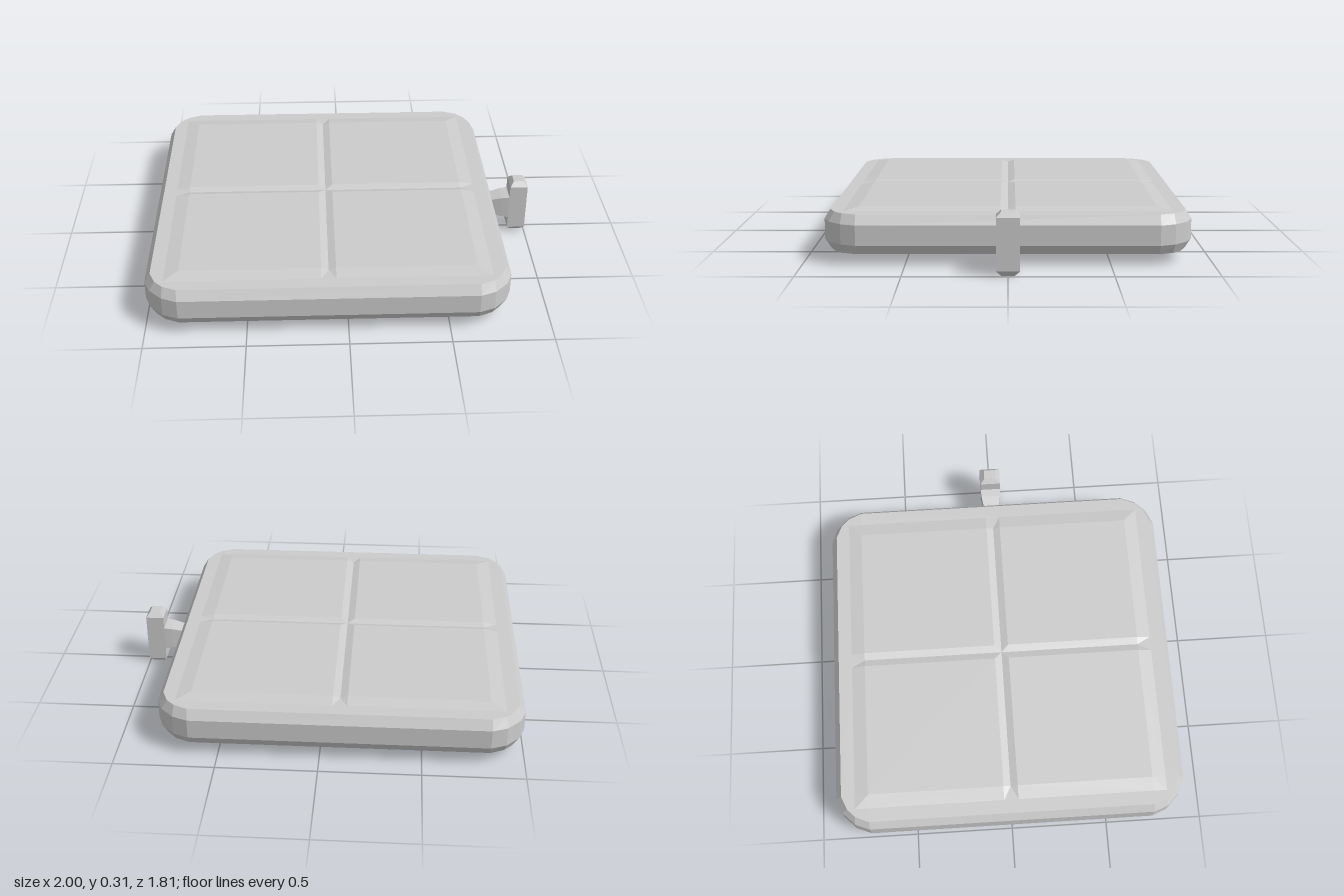
import * as THREE from 'three';

const CX = -0.095, MID = 0.153; // centre of the slab

const material = () => new THREE.MeshStandardMaterial({ color: 0xcccccc, flatShading: true });

function facetMesh(name, positions) {
  const g = new THREE.BufferGeometry();
  g.setAttribute('position', new THREE.Float32BufferAttribute(positions, 3));
  g.computeVertexNormals();
  const mesh = new THREE.Mesh(g, material());
  mesh.name = name;
  return mesh;
}

// Joins stacked rings of [x, y, z] (counter-clockwise from above) and caps both ends
function loft(name, rings) {
  const out = [], n = rings[0].length;
  const tri = (a, b, c) => out.push(...a, ...b, ...c);
  for (let r = 0; r < rings.length - 1; r++) {
    const a = rings[r], b = rings[r + 1];
    for (let i = 0; i < n; i++) {
      const j = (i + 1) % n;
      tri(a[i], a[j], b[j]);
      tri(a[i], b[j], b[i]);
    }
  }
  const lo = rings[0], hi = rings[rings.length - 1];
  for (let i = 1; i < n - 1; i++) {
    tri(lo[0], lo[i + 1], lo[i]);
    tri(hi[0], hi[i], hi[i + 1]);
  }
  return facetMesh(name, out);
}

const rectRing = (hx, y, hz) => [[hx, y, hz], [hx, y, -hz], [-hx, y, -hz], [-hx, y, hz]];

// Square outline with three-facet corners, pulled in by an inset
function slabRing(y, inset) {
  const h = 0.905 - inset;
  const corner = [[h, 0.735], [0.875 - inset, 0.81 - inset * 0.2],
    [0.81 - inset * 0.2, 0.875 - inset], [0.735, h]];
  const ring = [];
  for (let k = 0; k < 4; k++) {
    for (const [u, v] of corner) {
      const [x, w] = [[u, v], [-v, u], [-u, -v], [v, -u]][k];
      ring.push([x, y, -w]);
    }
  }
  return ring;
}

// Four shallow raised pads with sloped borders, parted by a V-groove cross
function padField(name) {
  const lines = [-0.805, -0.735, -0.037, 0, 0.037, 0.735, 0.805];
  const raised = [1, 2, 4, 5];
  const p = (i, j) => [lines[i],
    raised.includes(i) && raised.includes(j) ? 0.111 : 0.0985, lines[j]];
  const out = [];
  for (let i = 0; i < 6; i++) {
    for (let j = 0; j < 6; j++) {
      const a = p(i, j), b = p(i, j + 1), c = p(i + 1, j + 1), d = p(i + 1, j);
      // run the diagonal so that corners fold evenly
      if ((i < 3) === (j < 3)) out.push(...a, ...b, ...c, ...a, ...c, ...d);
      else out.push(...a, ...b, ...d, ...b, ...c, ...d);
    }
  }
  return facetMesh(name, out);
}

export function createModel() {
  const model = new THREE.Group();
  model.name = 'quilted slab with toggle';

  // Slab with bevelled rim, pads on both faces
  const slab = new THREE.Group();
  slab.name = 'slab';
  slab.position.set(CX, MID, 0);
  slab.add(loft('slabBody', [
    slabRing(-0.098, 0.03), slabRing(-0.05, 0), slabRing(0.05, 0), slabRing(0.098, 0.03),
  ]));
  const bottomPads = padField('bottomPads');
  bottomPads.rotation.x = Math.PI;
  slab.add(padField('topPads'), bottomPads);
  model.add(slab);

  // Toggle: flared stem and an upright bar with chamfered ends
  const toggle = new THREE.Group();
  toggle.name = 'toggle';
  const stem = loft('toggleStem', [
    rectRing(0.042, 0.8, 0.042), rectRing(0.058, 0.865, 0.052), rectRing(0.064, 0.91, 0.056),
  ]);
  stem.rotation.z = -Math.PI / 2;
  stem.position.y = MID;
  const bar = loft('toggleBar', [
    rectRing(0.027, 0, 0.032), rectRing(0.047, 0.025, 0.056),
    rectRing(0.047, 0.281, 0.056), rectRing(0.027, 0.306, 0.032),
  ]);
  bar.position.x = 0.953;
  toggle.add(stem, bar);
  model.add(toggle);

  return model;
}
